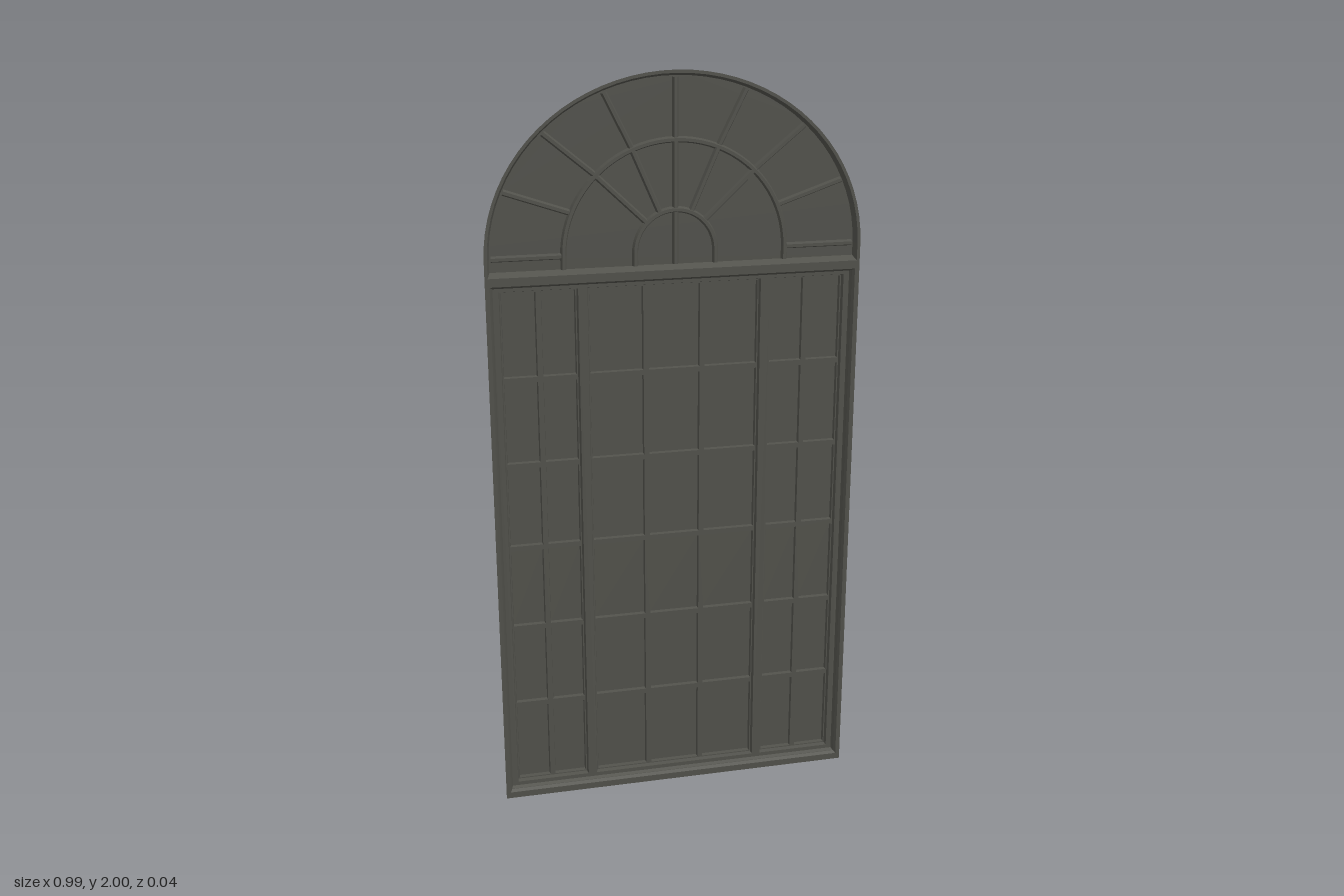
import * as THREE from 'three';

const HALF = 0.493, SPRING = 1.545;
const FRONT = 0.02, PLATEAU = 0, SASH = -0.011, PANE = -0.021, ARCH = 0;

const metal = new THREE.MeshStandardMaterial({ color: 0x50504a, side: THREE.DoubleSide });
metal.name = 'dark grey paint';

const v2 = (x, y) => new THREE.Vector2(x, y);
const rect = (x0, y0, x1, y1) => [v2(x0, y0), v2(x1, y0), v2(x1, y1), v2(x0, y1)];
const inset = ([a, , c], d) => rect(a.x + d, a.y + d, c.x - d, c.y - d);

function arc(w, h, n = 40) {
  return Array.from({ length: n + 1 }, (_, i) => {
    const t = (i / n) * Math.PI;
    return v2(w * Math.cos(t), SPRING + h * Math.sin(t));
  });
}
// arc with straight legs down to y
const arch = (w, h, y) => [v2(w, y), ...arc(w, h), v2(-w, y)];

function add(parent, name, geometry) {
  const mesh = new THREE.Mesh(geometry, metal);
  mesh.name = name;
  parent.add(mesh);
}

// flat sheet with holes at depth z
function sheet(parent, name, outline, holes, z) {
  const shape = new THREE.Shape(outline);
  shape.holes = holes.map((h) => new THREE.Path(h));
  add(parent, name, new THREE.ShapeGeometry(shape).translate(0, 0, z));
}

// faceted skin across rows of points, each row at its own depth
function loft(parent, name, rows, depths, closed) {
  const pos = [], n = rows[0].length;
  const put = (r, i) => pos.push(rows[r][i % n].x, rows[r][i % n].y, depths[r]);
  for (let r = 0; r < rows.length - 1; r++) {
    for (let i = 0; i < (closed ? n : n - 1); i++) {
      put(r, i); put(r, i + 1); put(r + 1, i);
      put(r, i + 1); put(r + 1, i + 1); put(r + 1, i);
    }
  }
  const g = new THREE.BufferGeometry();
  g.setAttribute('position', new THREE.Float32BufferAttribute(pos, 3));
  g.computeVertexNormals();
  add(parent, name, g);
}

// raised glazing bar with sloping sides along a path
function bar(parent, name, path) {
  const offset = (d) => path.map((p, i) => {
    const a = path[Math.max(i - 1, 0)], b = path[Math.min(i + 1, path.length - 1)];
    const t = b.clone().sub(a).normalize();
    return v2(p.x - t.y * d, p.y + t.x * d);
  });
  loft(parent, name, [-0.008, -0.004, 0.004, 0.008].map(offset),
    [ARCH, ARCH + 0.01, ARCH + 0.01, ARCH], false);
}

export function createModel() {
  const model = new THREE.Group();
  model.name = 'archedWindow';

  // front frame, one sheet pierced by the door opening and the arch
  const doorHole = rect(-0.481, 0.018, 0.481, 1.478);
  const archHole = arch(0.485, 0.447, 1.5);
  const outline = [v2(-HALF, 0), v2(HALF, 0), ...arc(HALF, 2 - SPRING)];
  sheet(model, 'frontFrame', outline, [doorHole, archHole], FRONT);

  // arched fanlight
  const fan = new THREE.Group();
  fan.name = 'fanlight';
  model.add(fan);
  const fanFloor = arch(0.478, 0.44, 1.511);
  loft(fan, 'fanlightReveal', [archHole, fanFloor], [FRONT, ARCH], true);
  sheet(fan, 'fanlightPanel', fanFloor, [], ARCH);
  bar(fan, 'hubBar', arch(0.105, 0.107, 1.511));
  bar(fan, 'middleBar', arch(0.29, 0.283, 1.511));
  for (let i = 0; i <= 8; i++) {
    const t = (i * Math.PI) / 8, c = Math.cos(t), s = Math.sin(t);
    const at = (w, h) => v2(w * c, SPRING + h * s);
    bar(fan, 'outerSpoke', [at(0.296, 0.289), at(0.474, 0.436)]);
    if (i >= 2 && i <= 6) bar(fan, 'innerSpoke', [at(0.11, 0.112), at(0.286, 0.279)]);
  }
  bar(fan, 'hubSpoke', [v2(0, 1.512), v2(0, SPRING + 0.102)]);

  // stepped reveal around the lower glazing
  const ledge = inset(doorHole, 0.005);
  const plateau = inset(doorHole, 0.009);
  loft(model, 'doorReveal', [doorHole, ledge, ledge, plateau],
    [FRONT, 0.011, 0.009, PLATEAU], true);

  // three glazed sections, each a tray holding recessed panes
  const sections = [
    ['rightSidelight', -0.457, -0.254, 2],
    ['centreDoors', -0.23, 0.23, 3],
    ['leftSidelight', 0.254, 0.457, 2],
  ];
  const bottom = 0.038, top = 1.46, rows = 6, gap = 0.007;
  const openings = [];
  for (const [name, x0, x1, columns] of sections) {
    const section = new THREE.Group();
    section.name = name;
    model.add(section);
    const opening = rect(x0, bottom, x1, top);
    const floor = inset(opening, 0.003);
    openings.push(opening);
    loft(section, 'sashReveal', [opening, floor], [PLATEAU, SASH], true);

    const holes = [];
    const [a, , c] = floor;
    const w = (c.x - a.x) / columns, h = (c.y - a.y) / rows;
    for (let i = 0; i < columns; i++) {
      for (let j = 0; j < rows; j++) {
        const x = a.x + i * w, y = a.y + j * h;
        const hole = rect(x + (i ? gap : 0.003), y + (j ? gap : 0.003),
          x + w - (i < columns - 1 ? gap : 0.003), y + h - (j < rows - 1 ? gap : 0.003));
        const glass = inset(hole, 0.002);
        holes.push(hole);
        loft(section, 'paneReveal', [hole, glass], [SASH, PANE], true);
        sheet(section, 'pane', glass, [], PANE);
      }
    }
    sheet(section, 'glazingBars', floor, holes, SASH);
  }
  sheet(model, 'mullions', plateau, openings, PLATEAU);

  return model;
}
